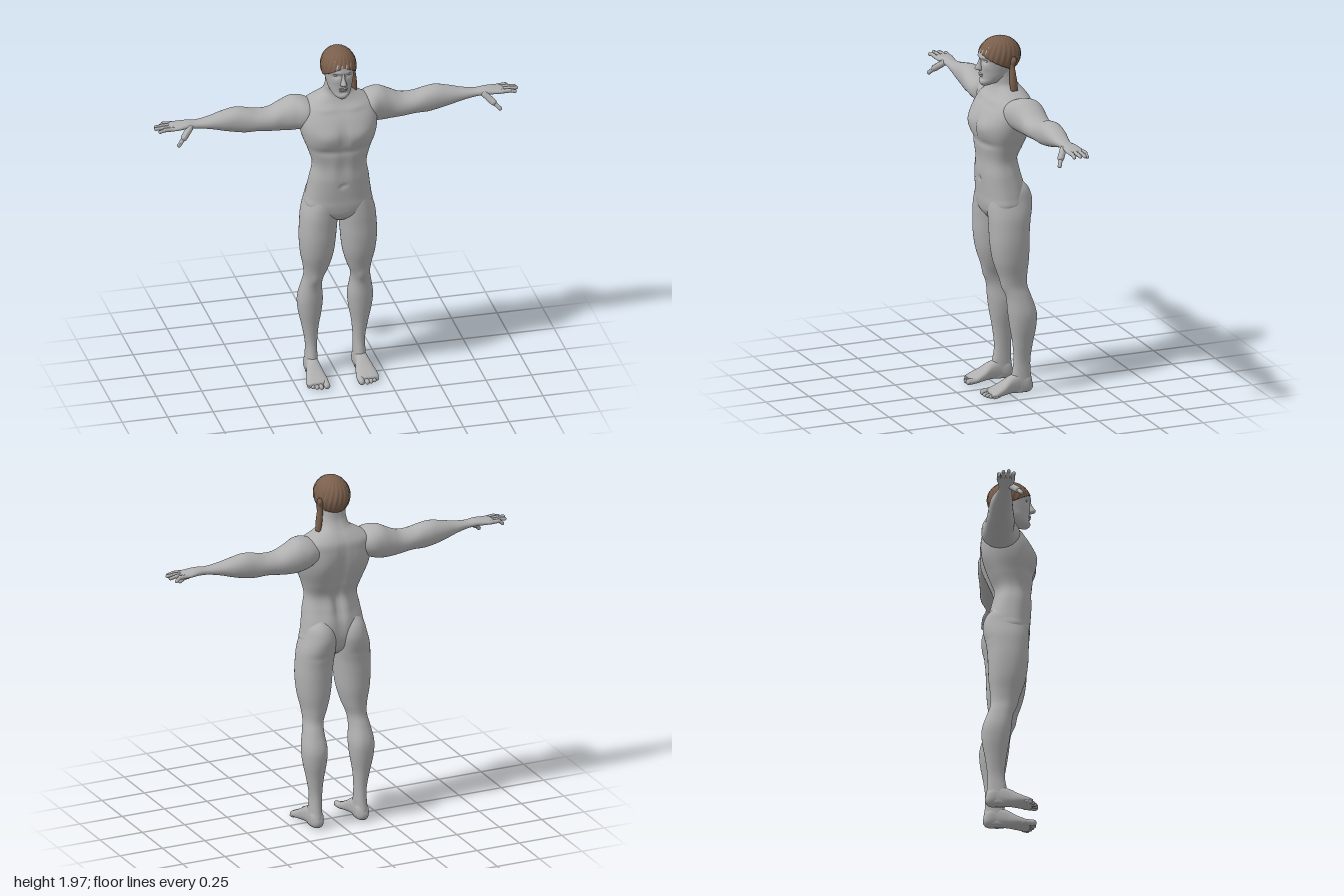
import * as THREE from 'three';
import { mergeGeometries } from 'three/addons/utils/BufferGeometryUtils.js';

// Places a section point (u, v) at station t; each order keeps faces outward.
const AXES = {
  x: (u, v, t) => [t, v, u], // along the arm: u = z, v = y
  y: (u, v, t) => [u, t, v], // upright: u = x, v = z
  z: (u, v, t) => [v, u, t], // along the foot: u = y, v = x
};

// Smooth closed body through sections [t, u0, u1, v0, v1] in rising t.
// bumps: [u, t, radiusU, radiusT, side of v, amount] push the surface along v.
function loft(axis, sections, { rows = 48, sides = 40, power = 2, bumps = [] } = {}) {
  const spline = new THREE.CubicInterpolant(sections.map((s) => s[0]), sections.flatMap((s) => s.slice(1)), 4);
  const t0 = sections[0][0], t1 = sections[sections.length - 1][0];
  const pos = [], index = [];
  const round = (c) => Math.sign(c) * Math.abs(c) ** (2 / power);
  for (let i = 0; i <= rows; i++) {
    const t = t0 + ((t1 - t0) * i) / rows;
    const [u0, u1, v0, v1] = spline.evaluate(t);
    for (let j = 0; j < sides; j++) {
      const a = (j / sides) * Math.PI * 2, sin = Math.sin(a);
      const u = (u0 + u1) / 2 + ((u1 - u0) / 2) * round(Math.cos(a));
      let v = (v0 + v1) / 2 + ((v1 - v0) / 2) * round(sin);
      for (const [bu, bt, ru, rt, side, amount] of bumps) {
        const d = ((u - bu) / ru) ** 2 + ((t - bt) / rt) ** 2;
        v += side * amount * Math.max(0, side * sin) * Math.exp(-d);
      }
      pos.push(...AXES[axis](u, v, t));
      if (i < rows) {
        const k = i * sides + j, n = i * sides + ((j + 1) % sides);
        index.push(k, k + sides, n, n, k + sides, n + sides);
      }
    }
  }
  // End caps
  for (const [row, t] of [[0, t0], [rows, t1]]) {
    const [u0, u1, v0, v1] = spline.evaluate(t);
    const c = pos.length / 3;
    pos.push(...AXES[axis]((u0 + u1) / 2, (v0 + v1) / 2, t));
    for (let j = 0; j < sides; j++) {
      const k = row * sides + j, n = row * sides + ((j + 1) % sides);
      index.push(...(row ? [c, n, k] : [c, k, n]));
    }
  }
  const g = new THREE.BufferGeometry();
  g.setAttribute('position', new THREE.Float32BufferAttribute(pos, 3));
  g.setIndex(index);
  g.computeVertexNormals();
  return g;
}

// Rounded rod between two points
function rod(a, b, r) {
  const A = new THREE.Vector3(...a), B = new THREE.Vector3(...b);
  const d = B.clone().sub(A);
  const g = new THREE.CapsuleGeometry(r, d.length(), 5, 12);
  g.applyQuaternion(new THREE.Quaternion().setFromUnitVectors(new THREE.Vector3(0, 1, 0), d.normalize()));
  return g.translate(...A.add(B).multiplyScalar(0.5).toArray());
}

function ellipsoid(x, y, z, rx, ry, rz) {
  return new THREE.SphereGeometry(1, 20, 14).scale(rx, ry, rz).translate(x, y, z);
}

function mirrored(g) {
  const m = g.clone().scale(-1, 1, 1), idx = m.index.array;
  for (let i = 0; i < idx.length; i += 3) [idx[i], idx[i + 1]] = [idx[i + 1], idx[i]];
  m.computeVertexNormals();
  return m;
}

const both = (list) => list.flatMap((b) => [b, [-b[0], ...b.slice(1)]]);
const even = (list) => list.map(([t, w, back, front]) => [t, -w, w, back, front]);

export function createModel() {
  const model = new THREE.Group();
  const skin = new THREE.MeshStandardMaterial({ name: 'grey skin', color: 0xb0b0b0 });
  const hairBrown = new THREE.MeshStandardMaterial({ name: 'brown hair', color: 0x7a5f4c, side: THREE.DoubleSide });
  const eyeWhite = new THREE.MeshStandardMaterial({ name: 'pale eye', color: 0xcfd2d4 });
  const add = (name, geometry, material = skin) => {
    const mesh = new THREE.Mesh(geometry, material);
    mesh.name = name;
    model.add(mesh);
  };
  const addPair = (name, g, material) => {
    add(`left${name}`, g, material);
    add(`right${name}`, mirrored(g), material);
  };

  // Torso and neck, with chest, shoulder blades, spine and belly modelled
  add('torso', loft('y', even([
    [0.965, 0.04, -0.05, 0.07], [1.0, 0.12, -0.09, 0.1], [1.05, 0.18, -0.11, 0.112],
    [1.1, 0.177, -0.115, 0.114], [1.16, 0.168, -0.108, 0.118], [1.22, 0.159, -0.088, 0.12],
    [1.3, 0.147, -0.073, 0.116], [1.38, 0.168, -0.105, 0.128], [1.46, 0.198, -0.132, 0.142],
    [1.52, 0.21, -0.145, 0.138], [1.58, 0.21, -0.15, 0.112], [1.63, 0.195, -0.145, 0.074],
    [1.665, 0.14, -0.125, 0.05], [1.7, 0.083, -0.097, 0.036], [1.74, 0.068, -0.076, 0.04],
    [1.8, 0.064, -0.07, 0.05],
  ]), { rows: 90, sides: 72, power: 2.4, bumps: [
    ...both([
      [0.09, 1.49, 0.07, 0.05, 1, 0.014], [0.1, 1.4, 0.09, 0.02, 1, -0.008],
      [0.045, 1.3, 0.03, 0.09, 1, 0.006], [0.11, 1.5, 0.06, 0.08, -1, 0.012],
      [0.05, 1.25, 0.03, 0.1, -1, 0.01], [0.08, 1.63, 0.06, 0.015, 1, 0.008],
    ]),
    [0, 1.49, 0.015, 0.08, 1, -0.01], [0, 1.35, 0.018, 0.22, -1, -0.018], [0, 1.19, 0.012, 0.012, 1, -0.01],
  ] }));

  // Legs
  addPair('Leg', loft('y', [
    [0.01, 0.105, 0.163, -0.12, 0], [0.05, 0.1, 0.168, -0.128, 0], [0.1, 0.1, 0.165, -0.121, -0.012],
    [0.18, 0.1, 0.163, -0.118, -0.025], [0.28, 0.092, 0.18, -0.13, -0.018], [0.38, 0.075, 0.201, -0.147, -0.002],
    [0.45, 0.07, 0.206, -0.148, 0.008], [0.55, 0.08, 0.189, -0.117, 0.02], [0.6, 0.075, 0.18, -0.101, 0.035],
    [0.66, 0.052, 0.185, -0.102, 0.056], [0.75, 0.027, 0.203, -0.111, 0.085], [0.85, 0.015, 0.211, -0.115, 0.1],
    [0.93, 0.008, 0.208, -0.119, 0.103], [1.0, 0.001, 0.201, -0.132, 0.105], [1.08, 0.002, 0.178, -0.14, 0.1],
    [1.14, 0.02, 0.16, -0.12, 0.08], [1.19, 0.06, 0.12, -0.075, 0.04],
  ], { rows: 100, power: 2.15, bumps: [
    [0.125, 0.6, 0.03, 0.035, 1, 0.008], [0.1, 0.48, 0.025, 0.08, -1, 0.004], [0.135, 0.98, 0.09, 0.02, -1, -0.004],
  ] }));

  // Feet with toes
  const toes = [[0.095, 0.138, 0.017], [0.126, 0.141, 0.012], [0.148, 0.134, 0.011], [0.168, 0.124, 0.011], [0.186, 0.11, 0.01]];
  const foot = loft('z', [
    [-0.13, 0.025, 0.05, 0.12, 0.148], [-0.115, 0.008, 0.085, 0.103, 0.163], [-0.05, 0.005, 0.112, 0.099, 0.168],
    [0, 0.006, 0.1, 0.095, 0.175], [0.05, 0.003, 0.068, 0.084, 0.19], [0.1, 0.001, 0.042, 0.078, 0.198],
    [0.122, 0.004, 0.032, 0.084, 0.19],
  ], { power: 2.4 });
  addPair('Foot', foot);
  addPair('Toes', mergeGeometries(toes.map(([x, z, r]) => rod([x, r + 0.005, 0.085], [x, r, z], r))));

  // Arms down to the palm
  addPair('Arm', loft('x', [
    [0.11, -0.12, 0.04, 1.54, 1.63], [0.18, -0.15, 0.055, 1.5, 1.664], [0.24, -0.153, 0.034, 1.485, 1.67],
    [0.3, -0.147, 0.018, 1.485, 1.643], [0.36, -0.14, 0.016, 1.491, 1.616], [0.43, -0.135, 0.013, 1.499, 1.614],
    [0.5, -0.13, 0.005, 1.496, 1.631], [0.55, -0.128, 0, 1.503, 1.637], [0.62, -0.12, -0.005, 1.52, 1.624],
    [0.7, -0.1, -0.012, 1.543, 1.605], [0.77, -0.086, -0.018, 1.556, 1.597], [0.82, -0.09, -0.012, 1.56, 1.6],
    [0.87, -0.1, -0.005, 1.561, 1.595], [0.905, -0.1, -0.006, 1.563, 1.59], [0.922, -0.092, -0.016, 1.57, 1.585],
  ], { rows: 90, power: 2.15 }));

  // Fingers: base z, tip x, tip z, tip y
  const fingers = [[-0.089, 0.962, -0.094, 1.562], [-0.066, 0.986, -0.07, 1.574], [-0.042, 0.991, -0.042, 1.578], [-0.018, 0.975, -0.013, 1.572]];
  const hand = fingers.flatMap(([z, x, tz, y]) => {
    const mid = [(x + 0.9) / 2 + 0.01, 1.579, (z + tz) / 2];
    return [rod([0.895, 1.577, z], mid, 0.0115), rod(mid, [x, y, tz], 0.0095)];
  });
  hand.push(rod([0.81, 1.572, -0.02], [0.85, 1.535, 0.012], 0.018), rod([0.85, 1.535, 0.012], [0.882, 1.503, 0.032], 0.011));
  addPair('Fingers', mergeGeometries(hand));

  // Head with brow, eye sockets, cheeks and chin
  add('head', loft('y', even([
    [1.705, 0.018, 0.06, 0.105], [1.72, 0.04, 0.015, 0.116], [1.75, 0.06, -0.04, 0.112],
    [1.79, 0.071, -0.075, 0.113], [1.83, 0.079, -0.095, 0.114], [1.87, 0.083, -0.1, 0.118],
    [1.91, 0.079, -0.093, 0.106], [1.94, 0.058, -0.068, 0.075], [1.955, 0.02, -0.02, 0.03],
  ]), { rows: 72, sides: 72, power: 2.1, bumps: [
    ...both([
      [0.034, 1.845, 0.02, 0.012, 1, -0.014], [0.034, 1.866, 0.025, 0.008, 1, 0.005],
      [0.045, 1.81, 0.02, 0.018, 1, 0.004],
    ]),
    [0, 1.743, 0.02, 0.007, 1, -0.006],
  ] }));
  add('nose', loft('y', even([
    [1.79, 0.01, 0.1, 0.125], [1.796, 0.017, 0.1, 0.14], [1.805, 0.016, 0.1, 0.145], [1.825, 0.01, 0.1, 0.133],
    [1.85, 0.008, 0.1, 0.121], [1.866, 0.009, 0.1, 0.117],
  ]), { rows: 20, sides: 24 }));
  add('lips', mergeGeometries([
    ellipsoid(0, 1.769, 0.111, 0.024, 0.005, 0.009), ellipsoid(0, 1.759, 0.11, 0.02, 0.005, 0.009),
  ]));
  addPair('Eye', ellipsoid(0.034, 1.846, 0.092, 0.014, 0.006, 0.007), eyeWhite);

  // Swept-back hair: a dome whose lower edge drops from forehead to nape, ridged into locks
  const hair = new THREE.SphereGeometry(1, 160, 48);
  const p = hair.attributes.position, uv = hair.attributes.uv;
  for (let i = 0; i < p.count; i++) {
    const az = (uv.getX(i) - 0.5) * Math.PI * 2, s = 1 - uv.getY(i);
    const edge = 1.3 + 1.25 * ((1 - Math.cos(az)) / 2) ** 0.7;
    const th = Math.min(1, s * 1.03) * edge;
    const lock = 1 + 0.018 * Math.sin(22 * az + 5 * th) * Math.sin(th) ** 2;
    const r = s > 0.99 ? 0.86 : lock;
    p.setXYZ(i, 0.095 * r * Math.sin(th) * Math.sin(az), 1.864 + 0.104 * r * Math.cos(th), 0.003 + 0.117 * r * Math.sin(th) * Math.cos(az));
  }
  // Dome is wound so that azimuth runs the opposite way round to the sphere
  const hi = hair.index.array, a = new THREE.Vector3(), b = new THREE.Vector3(), c = new THREE.Vector3();
  const f = 3 * 160 * 30;
  [a, b, c].forEach((q, k) => q.fromBufferAttribute(p, hi[f + k]));
  const facing = b.sub(a).cross(c.sub(a)).dot(a.clone().sub(new THREE.Vector3(0, 1.864, 0)));
  if (facing < 0) for (let i = 0; i < hi.length; i += 3) [hi[i], hi[i + 1]] = [hi[i + 1], hi[i]];
  hair.computeVertexNormals();
  add('hair', hair, hairBrown);

  // Side tail hanging behind the left ear
  add('hairTail', loft('y', [
    [1.685, 0.088, 0.114, -0.06, -0.02], [1.72, 0.08, 0.113, -0.06, -0.017], [1.78, 0.072, 0.106, -0.053, -0.02],
    [1.82, 0.07, 0.1, -0.05, -0.024], [1.85, 0.075, 0.108, -0.06, -0.025], [1.87, 0.08, 0.1, -0.05, -0.035],
  ], { rows: 24, sides: 20 }), hairBrown);

  return model;
}
